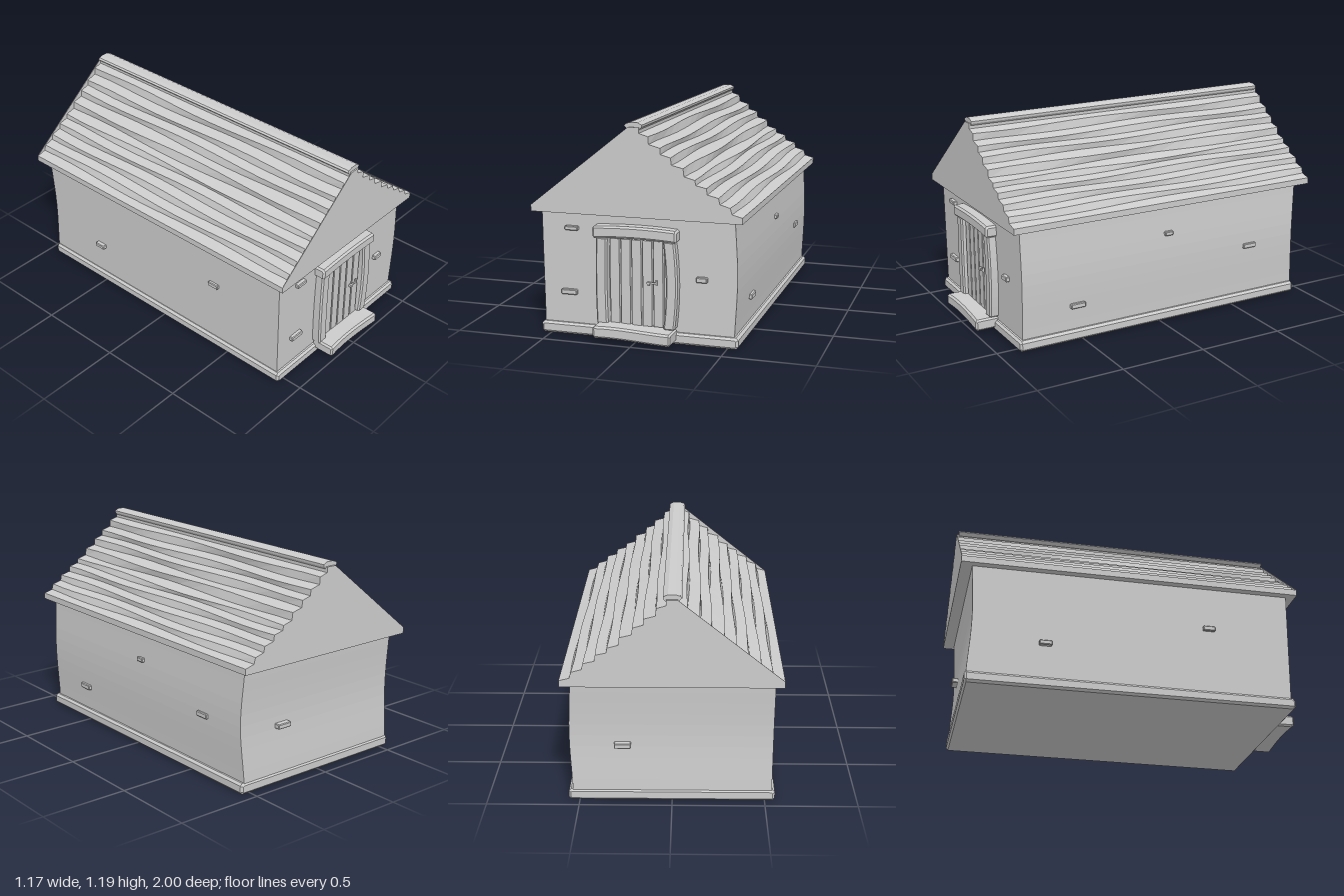
import * as THREE from 'three';

const stone = new THREE.MeshStandardMaterial({ color: 0xcccccc, flatShading: true });
stone.name = 'paleGrey';

// Outer and inner corners of the overlapping roof boards, ridge to eave
const STEPS = [
  [0.03, 1.165], [0.03, 1.135], [0.08, 1.12], [0.083, 1.08], [0.145, 1.063], [0.147, 1.03],
  [0.202, 1.015], [0.207, 0.977], [0.27, 0.962], [0.275, 0.92], [0.333, 0.905], [0.338, 0.878],
  [0.395, 0.865], [0.4, 0.832], [0.46, 0.818], [0.467, 0.785], [0.522, 0.77], [0.532, 0.737],
  [0.587, 0.722], [0.587, 0.687],
];
const toShape = (points) => new THREE.Shape(points.map(([x, y]) => new THREE.Vector2(x, y)));

// Move every vertex by a rule
function warp(geometry, rule) {
  const p = geometry.attributes.position;
  const v = new THREE.Vector3();
  for (let i = 0; i < p.count; i++) {
    v.fromBufferAttribute(p, i);
    rule(v);
    p.setXYZ(i, v.x, v.y, v.z);
  }
  geometry.computeVertexNormals();
  return geometry;
}

// Chamfered block, cut into slices along its longest axis so it can be bent
function block(w, h, d, bevel, rule) {
  const axis = w >= h && w >= d ? 'x' : h >= d ? 'y' : 'z';
  const [a, b, length] = axis === 'x' ? [d, h, w] : axis === 'y' ? [w, d, h] : [w, h, d];
  const x = a / 2 - bevel, y = b / 2 - bevel, c = bevel * 0.5;
  const section = toShape([
    [-x + c, -y], [x - c, -y], [x, -y + c], [x, y - c],
    [x - c, y], [-x + c, y], [-x, y - c], [-x, -y + c],
  ]);
  const g = new THREE.ExtrudeGeometry(section, {
    depth: length - 2 * bevel, steps: 8, bevelEnabled: true,
    bevelSegments: 1, bevelSize: bevel, bevelThickness: bevel,
  });
  g.translate(0, 0, -length / 2 + bevel);
  if (axis === 'x') g.rotateY(Math.PI / 2);
  if (axis === 'y') g.rotateX(-Math.PI / 2);
  return rule ? warp(g, rule) : g;
}

export function createModel() {
  const model = new THREE.Group();
  model.name = 'barn';
  const add = (name, geometry, x = 0, y = 0, z = 0, parent = model) => {
    const mesh = new THREE.Mesh(geometry, stone);
    mesh.name = name;
    mesh.position.set(x, y, z);
    parent.add(mesh);
    return mesh;
  };

  // Foundation and gently uneven walls
  add('foundation', block(1.115, 0.063, 1.83, 0.012), 0.002, 0.0315, -0.03);
  const walls = new THREE.BoxGeometry(1.085, 0.64, 1.795, 1, 10, 1);
  add('walls', warp(walls, (v) => {
    const t = v.y / 0.64 + 0.5;
    v.x += v.x > 0 ? 0.008 * Math.sin(t * 5 - 1) : -0.006 * t + 0.004;
    v.z += v.z < 0 ? 0.009 * Math.sin(t * 5 - 1) : 0.005 * t - 0.003;
  }), 0, 0.375, -0.032);

  // Roof body with wavering stepped boards on both slopes
  const mirrored = STEPS.map(([x, y]) => [-x, y]);
  const body = new THREE.ExtrudeGeometry(
    toShape([...mirrored, ...STEPS.slice().reverse()]),
    { depth: 1.912, steps: 16, bevelEnabled: false },
  );
  body.translate(0, 0, -0.996);
  add('roofBoards', warp(body, (v) => {
    if (v.y < 0.73 || v.y > 1.13) return;
    const fade = 1 - Math.pow(Math.abs(v.z + 0.04) / 0.956, 6);
    const wave = 0.006 * fade * Math.sin(v.z * 5 + Math.round(v.y * 40) * 2.3 + Math.sign(v.x));
    v.x += wave * Math.sign(v.x);
    v.y -= wave * 0.7;
  }));

  // Gable faces: straight edge on one slope, stepped on the other
  const gable = toShape([[-0.03, 1.165], [-0.587, 0.722], [-0.587, 0.687], ...STEPS.slice().reverse()]);
  for (const [name, z] of [['frontGable', 0.916], ['backGable', -1]]) {
    add(name, new THREE.ExtrudeGeometry(gable, { depth: 0.004, bevelEnabled: false }), 0, 0, z);
  }

  // Ridge cap
  const ridge = toShape([
    [-0.035, 1.155], [0.03, 1.152], [0.043, 1.165], [0.045, 1.178],
    [0.02, 1.19], [-0.02, 1.19], [-0.045, 1.182], [-0.053, 1.172],
  ]);
  add('ridgeCap', new THREE.ExtrudeGeometry(ridge, { depth: 1.9, bevelEnabled: false }), 0, 0, -0.988);

  // Doorway: step, posts and lintel
  const doorway = new THREE.Group();
  doorway.name = 'doorway';
  model.add(doorway);
  add('doorStep', block(0.435, 0.066, 0.14, 0.01, (v) => {
    if (v.z > 0) v.z -= 0.012 * (1 - Math.pow(v.x / 0.2175, 2));
    v.y -= 0.006 * Math.sin(v.x * 9);
  }), 0.003, 0.057, 0.93, doorway);
  for (const side of [-1, 1]) {
    add(side > 0 ? 'leftPost' : 'rightPost', block(0.064, 0.485, 0.065, 0.008, (v) => {
      const bulge = 1 - Math.pow(v.y / 0.2425, 2);
      v.x += side > 0 ? 0.016 * bulge : -0.005 * bulge;
    }), side * 0.187, 0.325, 0.882, doorway);
  }
  add('lintel', block(0.47, 0.066, 0.085, 0.01, (v) => {
    v.y += 0.009 * (1 - Math.pow(v.x / 0.235, 2));
  }), 0, 0.595, 0.887, doorway);

  // Door planks with gaps between them
  for (let i = 0; i < 5; i++) {
    add('doorPlank', new THREE.BoxGeometry(0.051, 0.47, 0.04), -0.12 + i * 0.061, 0.325, 0.872, doorway);
  }

  // Door latch
  const latch = new THREE.Group();
  latch.name = 'latch';
  doorway.add(latch);
  add('latchBar', new THREE.BoxGeometry(0.055, 0.009, 0.008), 0.092, 0.335, 0.906, latch);
  add('latchEnd', new THREE.BoxGeometry(0.009, 0.025, 0.012), 0.118, 0.337, 0.903, latch);
  add('latchPivot', new THREE.BoxGeometry(0.012, 0.018, 0.02), 0.072, 0.329, 0.899, latch);

  // Stones standing proud of the walls: width, height, position
  const stones = [
    ['frontStone', 0.075, 0.024, -0.37, 0.598, 0.866],
    ['frontStone', 0.09, 0.029, -0.39, 0.24, 0.862],
    ['frontStone', 0.06, 0.029, 0.36, 0.365, 0.864],
    ['backStone', 0.09, 0.028, 0.265, 0.325, -0.932],
  ];
  for (const [name, w, h, x, y, z] of stones) add(name, block(w, h, 0.046, 0.004), x, y, z);
  const sideStones = [
    ['leftStone', 0.09, 0.029, 0.539, 0.205, 0.53],
    ['leftStone', 0.052, 0.025, 0.54, 0.525, -0.05],
    ['leftStone', 0.085, 0.029, 0.54, 0.355, -0.61],
    ['rightStone', 0.07, 0.028, -0.535, 0.44, 0.4],
    ['rightStone', 0.07, 0.026, -0.543, 0.26, -0.52],
  ];
  for (const [name, w, h, x, y, z] of sideStones) add(name, block(0.046, h, w, 0.004), x, y, z);

  return model;
}
